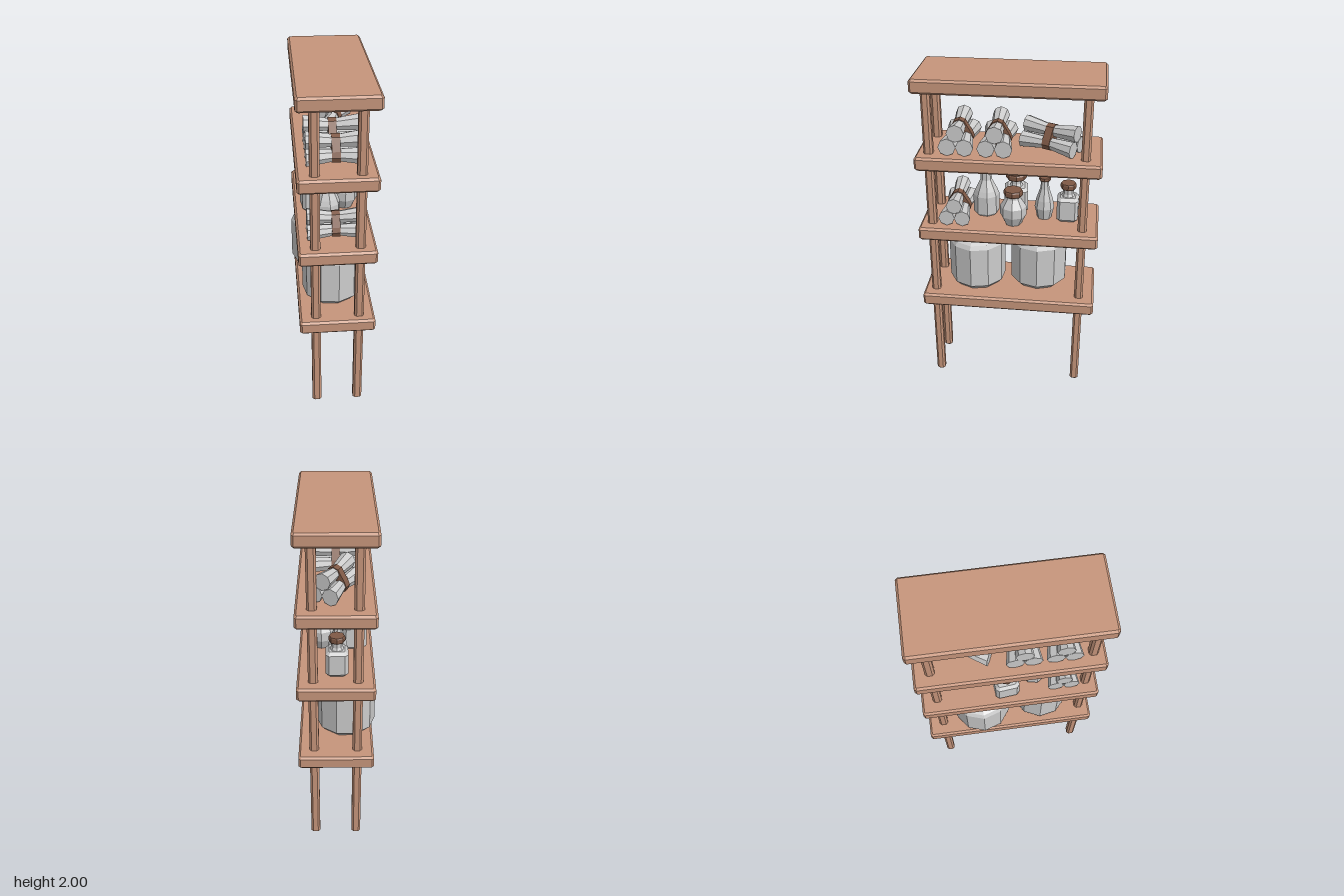
import * as THREE from 'three';
import { ConvexGeometry } from 'three/addons/geometries/ConvexGeometry.js';

const mat = (color, flatShading = true) => new THREE.MeshStandardMaterial({ color, flatShading });
const WOOD = mat(0xc6957b);
const DARK = mat(0x7f5946);
const GREY = mat(0xcccccc);

function add(parent, name, geo, material, x = 0, y = 0, z = 0) {
  const m = new THREE.Mesh(geo, material);
  m.name = name;
  m.position.set(x, y, z);
  parent.add(m);
  return m;
}

// Chamfered block standing on y = 0
function block(w, h, d, b) {
  const x = w / 2, z = d / 2;
  const pts = [[x - b, -z], [x, b - z], [x, z - b], [x - b, z], [b - x, z], [-x, z - b], [-x, b - z], [b - x, -z]];
  const shape = new THREE.Shape(pts.map(p => new THREE.Vector2(...p)));
  const geo = new THREE.ExtrudeGeometry(shape, {
    depth: h - 2 * b, bevelEnabled: true, bevelThickness: b, bevelSize: b, bevelOffset: -b, bevelSegments: 1,
  });
  return geo.rotateX(-Math.PI / 2).translate(0, b, 0);
}

// Faceted turned solid from [radius, height] pairs, bottom to top
const turned = (profile, sides = 8) =>
  new THREE.LatheGeometry(profile.map(p => new THREE.Vector2(...p)), sides);

function group(parent, name, x, y, z, turn = 0) {
  const g = new THREE.Group();
  g.name = name;
  g.position.set(x, y, z);
  g.rotation.y = turn;
  parent.add(g);
  return g;
}

// Wide jar with a thin lid
function jar(parent, x, y, z, r, turn) {
  const g = group(parent, 'largeJar', x, y, z, turn);
  add(g, 'jarBody', turned([[0, 0], [r * 0.8, 0], [r, 0.035], [r, 0.29], [r * 0.92, 0.315],
    [r * 0.72, 0.335], [r * 0.72, 0.355], [0, 0.355]], 10), GREY);
  add(g, 'jarLid', turned([[0, 0.345], [r * 0.76, 0.345], [r * 0.8, 0.352], [r * 0.8, 0.363], [r * 0.76, 0.37], [0, 0.37]], 10), DARK);
}

// Square bottle with an eight-sided stopper
function squareBottle(parent, x, y, z, w, cap, turn) {
  const g = group(parent, 'squareBottle', x, y, z, turn);
  add(g, 'bottleBody', block(w, 0.155, w, 0.018), GREY);
  add(g, 'bottleNeck', turned([[0.042, 0.15], [0.032, 0.17], [0.032, 0.205]]), GREY);
  add(g, 'bottleCap', turned([[0, 0.2], [cap * 0.92, 0.2], [cap, 0.208], [cap, 0.228], [cap * 0.92, 0.235], [0, 0.235]]), DARK);
}

// Three pinched rolls tied with a band, lying along x
function bundle(parent, x, y, z, r, turn = 0) {
  const g = group(parent, 'rollBundle', x, y, z, turn);
  const len = 0.32, top = r + r * 1.65, mid = r + r * 0.55;
  const centres = [[r, -r * 0.98], [r, r * 0.98], [top, 0]];
  const wrap = [];
  for (const [cy, cz] of centres) {
    const waist = r * 0.72;
    const geo = turned([[0, -len / 2], [r, -len / 2], [r * 0.85, -len / 4], [waist, -0.02], [waist, 0.02],
      [r * 0.85, len / 4], [r, len / 2], [0, len / 2]]);
    geo.rotateZ(-Math.PI / 2);
    // Pull the waist of each roll toward the middle of the bundle
    const p = geo.attributes.position;
    for (let i = 0; i < p.count; i++) {
      const k = 0.22 * (1 - Math.abs(p.getX(i)) / (len / 2));
      p.setY(i, p.getY(i) + (mid - cy) * k);
      p.setZ(i, p.getZ(i) - cz * k);
    }
    geo.computeVertexNormals();
    add(g, 'roll', geo, GREY, 0, cy, cz);
    for (const bx of [-0.023, 0.023]) {
      for (let i = 0; i < 8; i++) {
        const a = (i / 8) * Math.PI * 2;
        wrap.push(new THREE.Vector3(bx, cy + (mid - cy) * 0.2 + Math.cos(a) * r * 0.84, cz * 0.8 + Math.sin(a) * r * 0.84));
      }
    }
  }
  add(g, 'bundleBand', new ConvexGeometry(wrap), DARK);
}

export function createModel() {
  const model = new THREE.Group();
  model.name = 'shelfUnit';

  // Frame
  for (const y of [0.565, 1.03, 1.475, 1.92]) add(model, 'shelf', block(0.435, 0.08, 1.04, 0.012), WOOD, 0.005, y, 0);
  for (const x of [-0.117, 0.132])
    for (const z of [-0.427, 0.45]) add(model, 'leg', block(0.054, 1.94, 0.052, 0.012), WOOD, x, 0, z);

  // Lower shelf
  jar(model, -0.01, 0.647, 0.21, 0.172, 0.2);
  jar(model, -0.053, 0.647, -0.168, 0.176, 0.314);

  // Middle shelf
  const m = 1.11;
  bundle(model, 0.005, m, 0.315, 0.047);
  const tall = group(model, 'tallBottle', -0.03, m, 0.153, 0.2);
  add(tall, 'bottleBody', turned([[0, 0], [0.066, 0], [0.077, 0.015], [0.077, 0.125], [0.066, 0.155], [0.034, 0.22], [0.029, 0.33], [0, 0.33]]), GREY);
  add(tall, 'bottleCap', turned([[0, 0.322], [0.042, 0.322], [0.047, 0.33], [0.047, 0.347], [0.042, 0.354], [0, 0.354]]), DARK);

  const flask = group(model, 'roundFlask', 0.09, m, -0.022);
  add(flask, 'flaskBody', turned([[0, 0], [0.048, 0], [0.077, 0.06], [0.077, 0.115], [0.045, 0.165], [0.038, 0.19], [0, 0.19]]), GREY);
  add(flask, 'flaskCap', turned([[0, 0.182], [0.052, 0.182], [0.057, 0.19], [0.057, 0.21], [0.052, 0.218], [0, 0.218]]), DARK);

  const vase = group(model, 'slimVase', -0.005, m, -0.197);
  add(vase, 'vaseBody', turned([[0, 0], [0.042, 0], [0.058, 0.07], [0.05, 0.12], [0.027, 0.19], [0.022, 0.235], [0.03, 0.255], [0, 0.255]]), GREY);
  add(vase, 'vaseRim', turned([[0, 0.243], [0.033, 0.243], [0.035, 0.25], [0.033, 0.262], [0, 0.262]]), DARK);

  squareBottle(model, -0.1, m, -0.02, 0.14, 0.063, 0.1);
  squareBottle(model, 0, m, -0.335, 0.125, 0.046, 0);

  // Upper shelf
  bundle(model, 0.005, 1.553, 0.292, 0.05);
  bundle(model, 0.005, 1.553, 0.075, 0.05);
  bundle(model, 0.01, 1.553, -0.23, 0.048, 1.13);

  return model;
}
